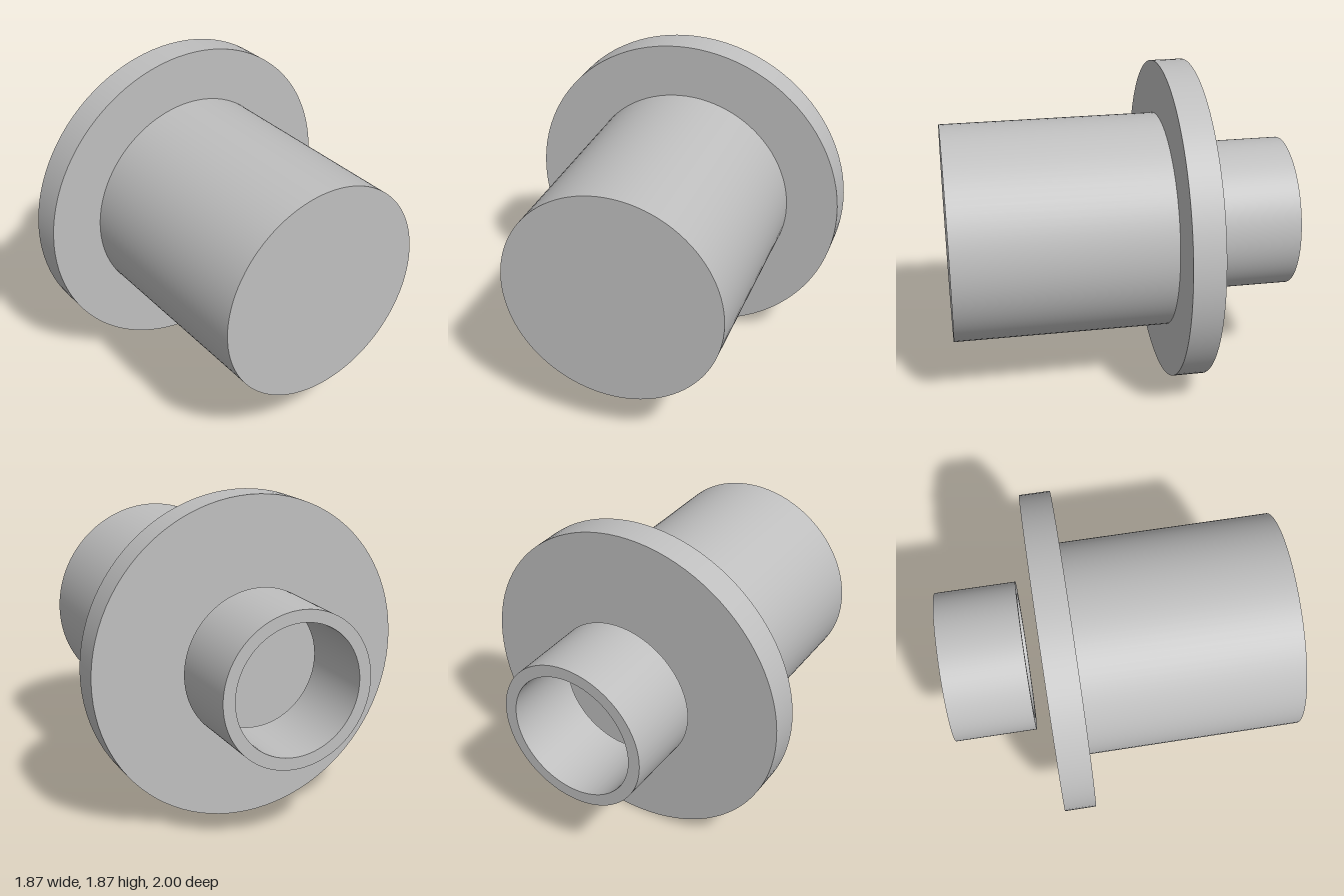
import * as THREE from 'three';
import { toCreasedNormals } from 'three/addons/utils/BufferGeometryUtils.js';

const AXIS_Y = 0.935;
const SEGMENTS = 96;

export function createModel() {
  const model = new THREE.Group();
  model.name = 'flangedShaft';
  const grey = new THREE.MeshStandardMaterial({ color: 0xbfbfbf });
  grey.name = 'plain grey';

  const add = (name, geometry) => {
    const mesh = new THREE.Mesh(geometry, grey);
    mesh.name = name;
    mesh.position.y = AXIS_Y;
    model.add(mesh);
  };

  // Solid disc lying along z between two positions
  const disc = (radius, back, front) =>
    new THREE.CylinderGeometry(radius, radius, front - back, SEGMENTS)
      .rotateX(Math.PI / 2)
      .translate(0, 0, (back + front) / 2);

  // Open tube with walls, lying along z
  const tube = (outer, inner, back, front) => {
    const shape = new THREE.Shape().absarc(0, 0, outer, 0, Math.PI * 2, false);
    shape.holes.push(new THREE.Path().absarc(0, 0, inner, 0, Math.PI * 2, true));
    const geometry = new THREE.ExtrudeGeometry(shape, {
      depth: front - back, bevelEnabled: false, curveSegments: SEGMENTS,
    });
    return toCreasedNormals(geometry.translate(0, 0, back), Math.PI / 6);
  };

  add('shaft', disc(0.63, -0.25, 1));
  add('flange', disc(0.935, -0.43, -0.25));
  // Separate sleeve floating behind the flange
  add('rearSleeve', tube(0.44, 0.37, -1, -0.525));

  return model;
}
